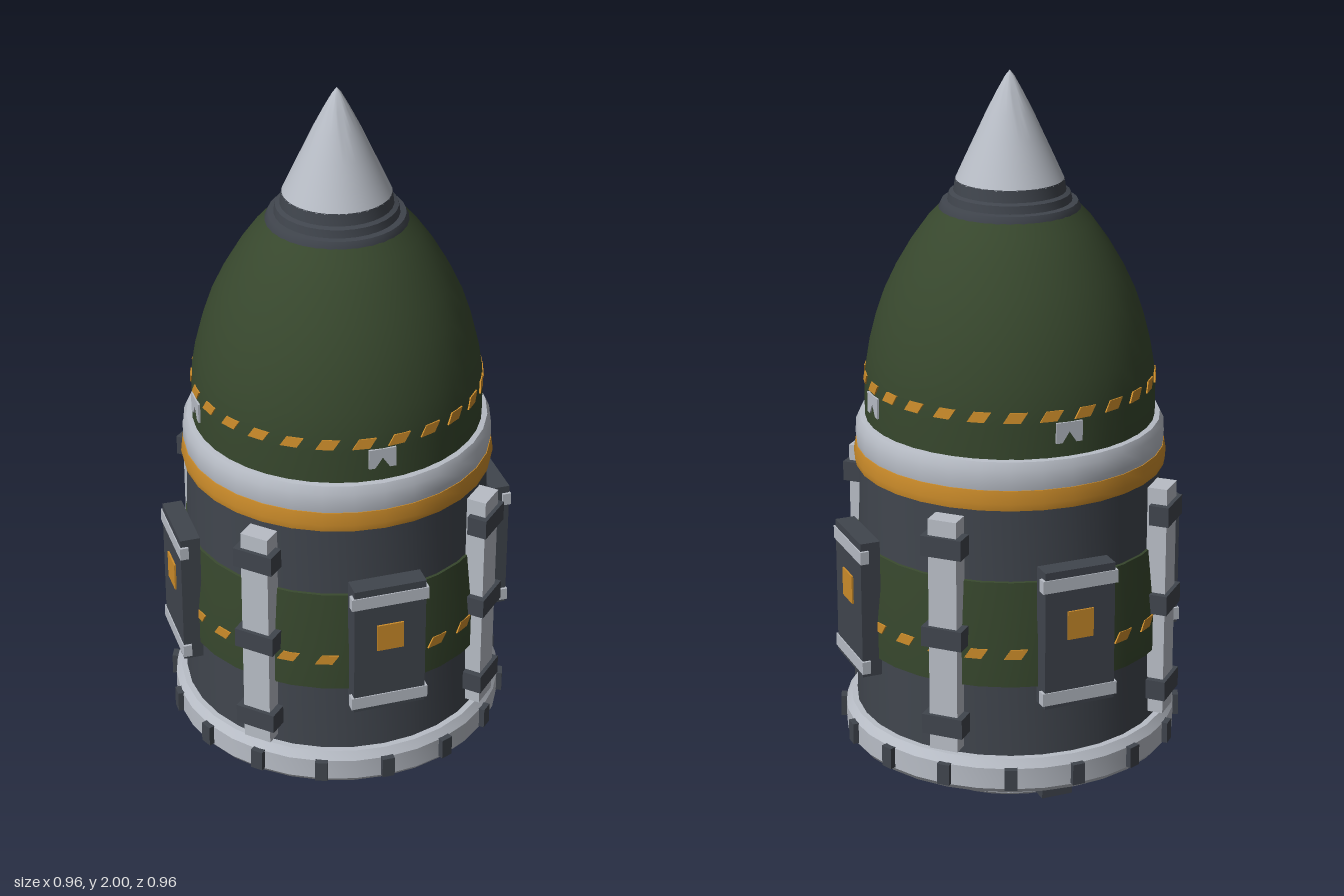
import * as THREE from 'three';
import { toCreasedNormals } from 'three/addons/utils/BufferGeometryUtils.js';

const material = (name, color) => {
  const m = new THREE.MeshStandardMaterial({ color });
  m.name = name;
  return m;
};

export function createModel() {
  const model = new THREE.Group();
  model.name = 'capsule';
  const green = material('olive green', 0x37472d);
  const dark = material('dark grey', 0x40454d);
  const silver = material('silver', 0xb8bdc6);
  const orange = material('amber', 0xcc8c2a);

  // Turned part from [radius, height] points, bottom to top
  const turned = (name, mat, points, sides = 32) => {
    const lathe = new THREE.LatheGeometry(points.map(([r, y]) => new THREE.Vector2(r, y)), sides);
    const mesh = new THREE.Mesh(toCreasedNormals(lathe, 0.5), mat);
    mesh.name = name;
    model.add(mesh);
  };

  // Group turned around the axis; local +z points outwards
  const spoke = (name, angle) => {
    const g = new THREE.Group();
    g.name = name;
    g.rotation.y = angle;
    model.add(g);
    return g;
  };

  const box = (parent, name, mat, [w, h, d], y, z) => {
    const mesh = new THREE.Mesh(new THREE.BoxGeometry(w, h, d), mat);
    mesh.name = name;
    mesh.position.set(0, y, z);
    parent.add(mesh);
  };

  const plate = (parent, name, mat, corners, y, z, tilt = 0) => {
    const shape = new THREE.Shape(corners.map(([a, b]) => new THREE.Vector2(a, b)));
    const mesh = new THREE.Mesh(new THREE.ExtrudeGeometry(shape, { depth: 0.006, bevelEnabled: false }), mat);
    mesh.name = name;
    mesh.position.set(0, y, z);
    mesh.rotation.x = tilt;
    parent.add(mesh);
  };

  // Base
  turned('bottomCap', orange, [[0, 0.005], [0.1, 0.005], [0.12, 0.015], [0.12, 0.035], [0, 0.035]]);
  turned('baseDisc', silver, [[0, 0.025], [0.265, 0.025], [0.295, 0.045], [0.295, 0.12], [0, 0.12]]);
  turned('basePlate', dark, [[0, 0.115], [0.385, 0.115], [0.385, 0.14], [0, 0.14]]);
  turned('baseRing', silver, [[0.37, 0.13], [0.452, 0.13], [0.464, 0.145], [0.464, 0.205], [0.448, 0.228], [0.4, 0.23]]);

  // Body and its painted band
  turned('body', dark, [[0.432, 0.22], [0.412, 0.94]]);
  turned('bodyBand', green, [[0.42, 0.43], [0.441, 0.435], [0.441, 0.56], [0.424, 0.728], [0.41, 0.732]]);
  turned('amberRing', orange, [[0.4, 0.928], [0.424, 0.93], [0.428, 0.95], [0.422, 0.985], [0.4, 0.988]]);
  turned('silverRing', silver, [[0.4, 0.982], [0.42, 0.985], [0.422, 1.0], [0.42, 1.04], [0.41, 1.06], [0.38, 1.064]]);

  // Upper shell, collar and nose
  turned('upperShell', green, [[0.395, 1.05], [0.395, 1.15], [0.391, 1.2], [0.381, 1.26], [0.363, 1.33],
    [0.339, 1.4], [0.306, 1.47], [0.265, 1.54], [0.222, 1.6], [0.18, 1.645]], 40);
  turned('collar', dark, [[0.17, 1.615], [0.19, 1.62], [0.19, 1.635], [0.182, 1.652], [0.166, 1.654], [0.162, 1.675],
    [0.15, 1.68], [0.145, 1.712], [0, 1.712]]);
  turned('nose', silver, [[0.145, 1.71], [0.12, 1.765], [0.092, 1.825], [0.062, 1.89], [0.034, 1.945],
    [0.012, 1.985], [0, 2]], 48);

  // Studs around the base ring
  for (let i = 0; i < 16; i++) {
    box(spoke('ringStud', i * Math.PI / 8), 'stud', dark, [0.035, 0.06, 0.03], 0.178, 0.463);
  }

  for (let i = 0; i < 4; i++) {
    const angle = i * Math.PI / 2;

    // Side panel with end bars and a square light
    const panel = spoke('sidePanel', angle);
    box(panel, 'panelPlate', dark, [0.2, 0.39, 0.055], 0.582, 0.4475);
    for (const y of [0.738, 0.416]) box(panel, 'panelBar', silver, [0.215, 0.036, 0.024], y, 0.466);
    box(panel, 'panelLight', orange, [0.074, 0.08, 0.008], 0.62, 0.476);

    // Small foot block under the base ring and notched mark on the shell
    box(spoke('footBlock', angle), 'block', dark, [0.09, 0.052, 0.05], 0.07, 0.31);
    plate(spoke('shellMark', angle), 'mark', silver,
      [[-0.037, 0], [-0.02, 0], [0, 0.03], [0.02, 0], [0.037, 0], [0.037, 0.056], [-0.037, 0.056]], 1.1, 0.392);

    // Upright rail with three clamps
    const rail = spoke('rail', angle + Math.PI / 4);
    box(rail, 'railBar', silver, [0.08, 0.66, 0.055], 0.578, 0.4425);
    for (const y of [0.835, 0.577, 0.322]) box(rail, 'railClamp', dark, [0.115, 0.056, 0.055], y, 0.4535);
  }

  // Slanted dashes around the shell and the body band
  const dash = [[-0.032, -0.014], [0.014, -0.014], [0.032, 0.014], [-0.014, 0.014]];
  const dashes = 26;
  for (let i = 0; i < dashes; i++) {
    const angle = (i + 0.5) * 2 * Math.PI / dashes;
    plate(spoke('shellDash', angle), 'dash', orange, dash, 1.175, 0.3895, -0.07);
    plate(spoke('bandDash', angle), 'dash', orange, dash, 0.53, 0.4365);
  }
  return model;
}
